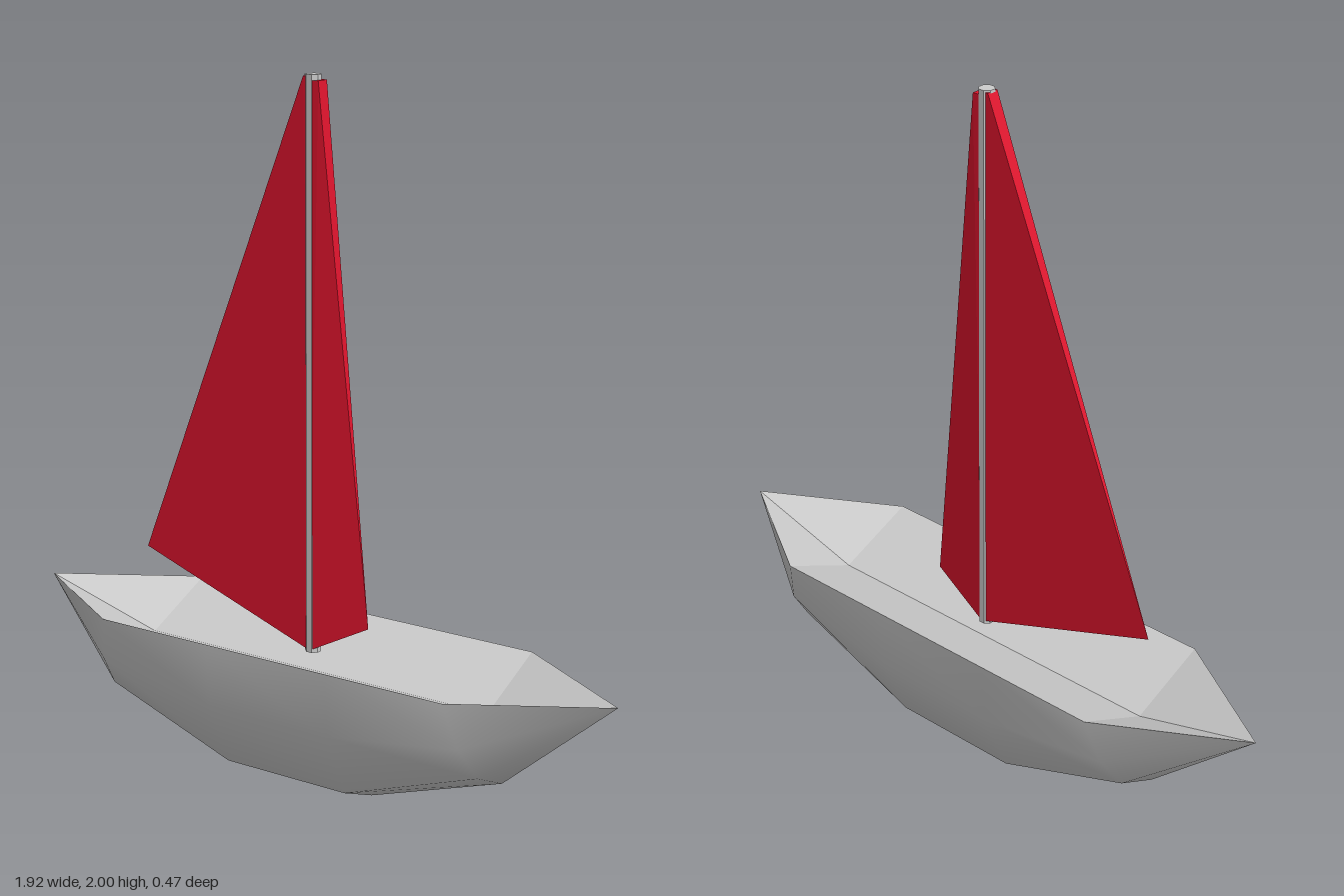
import * as THREE from 'three';
import { mergeVertices } from 'three/addons/utils/BufferGeometryUtils.js';

const grey = (flat) => new THREE.MeshStandardMaterial({ color: 0xcccccc, flatShading: flat });

function geometryFrom(points, index) {
  const g = new THREE.BufferGeometry();
  g.setAttribute('position', new THREE.Float32BufferAttribute(points.flat(), 3));
  g.setIndex(index);
  return g;
}

function named(name, geometry, material) {
  const mesh = new THREE.Mesh(geometry, material);
  mesh.name = name;
  return mesh;
}

const RIM = 0.435, BEAM = 0.235, CORNER = 0.57, TIP = 0.96, VALLEY = 0.33;

// Hull: half sections [x, y, z] from rim to keel, mirrored along and across
function hullGeometry() {
  const tip = Array(4).fill([TIP, RIM, 0]);
  const end = [[CORNER, RIM, BEAM], [0.6, 0.3, 0.2], [0.62, 0.2, 0.13], [0.62, 0.14, 0]];
  const middle = [[0.2, RIM, BEAM], [0.2, 0.25, 0.222], [0.2, 0.055, 0.135], [0.2, 0, 0]];
  const halves = [[tip, -1], [end, -1], [middle, -1], [middle, 1], [end, 1], [tip, 1]];
  const sections = halves.map(([s, side]) => {
    const near = s.map(([x, y, z]) => [x * side, y, z]);
    const far = near.slice(0, 3).reverse().map(([x, y, z]) => [x, y, -z]);
    return [...near, ...far];
  });
  const n = sections[0].length, index = [];
  for (let i = 0; i < sections.length - 1; i++) {
    for (let j = 0; j < n - 1; j++) {
      const a = i * n + j, b = a + n, c = b + 1, d = a + 1;
      if (i < sections.length - 2) index.push(a, c, b);
      if (i > 0) index.push(a, d, c);
      // The pointed ends need only one triangle per strip
    }
  }
  // Close the strips whose other triangle collapsed into a point
  const g = mergeVertices(geometryFrom(sections.flat(), index));
  g.computeVertexNormals();
  return g;
}

// Deck: two halves sloping down to a centre valley
function deckGeometry() {
  const points = [
    [-TIP, RIM, 0], [TIP, RIM, 0],
    [-CORNER, RIM, BEAM], [CORNER, RIM, BEAM],
    [-CORNER, RIM, -BEAM], [CORNER, RIM, -BEAM],
    [-CORNER, VALLEY, 0], [CORNER, VALLEY, 0],
  ];
  const index = [
    2, 3, 7, 2, 7, 6, 6, 7, 5, 6, 5, 4,
    7, 3, 1, 7, 1, 5, 6, 0, 2, 6, 4, 0,
  ];
  const g = geometryFrom(points, index).toNonIndexed();
  g.computeVertexNormals();
  return g;
}

// Sail: outline of [x, y, half thickness], anticlockwise from the front
function sailGeometry(outline) {
  const n = outline.length;
  const points = [...outline, ...outline.map(([x, y, t]) => [x, y, -t])];
  const index = [];
  for (let i = 1; i < n - 1; i++) index.push(0, i, i + 1, n, n + i + 1, n + i);
  for (let i = 0; i < n; i++) {
    const k = (i + 1) % n;
    index.push(i, n + i, n + k, i, n + k, k);
  }
  const g = geometryFrom(points, index).toNonIndexed();
  g.computeVertexNormals();
  return g;
}

export function createModel() {
  const model = new THREE.Group();
  model.name = 'sailboat';
  const red = new THREE.MeshStandardMaterial({ color: 0xe0142d, flatShading: true });

  model.add(named('hull', hullGeometry(), grey(false)));
  model.add(named('deck', deckGeometry(), grey(true)));

  // Mast
  const mast = new THREE.CylinderGeometry(0.023, 0.023, 1.61, 8);
  mast.rotateY(Math.PI / 8);
  mast.translate(0, 1.195, 0);
  model.add(named('mast', mast, grey(true)));

  // Sails, thick at the mast and sharp at the outer corner
  model.add(named('mainSail', sailGeometry([
    [0, 0.395, 0.018], [0, 1.995, 0.018], [-0.02, 1.995, 0.018], [-0.59, 0.59, 0],
  ]), red));
  model.add(named('foreSail', sailGeometry([
    [0, 0.395, 0.02], [0.185, 0.49, 0], [0.03, 1.985, 0.02], [0, 1.985, 0.02],
  ]), red));
  return model;
}
